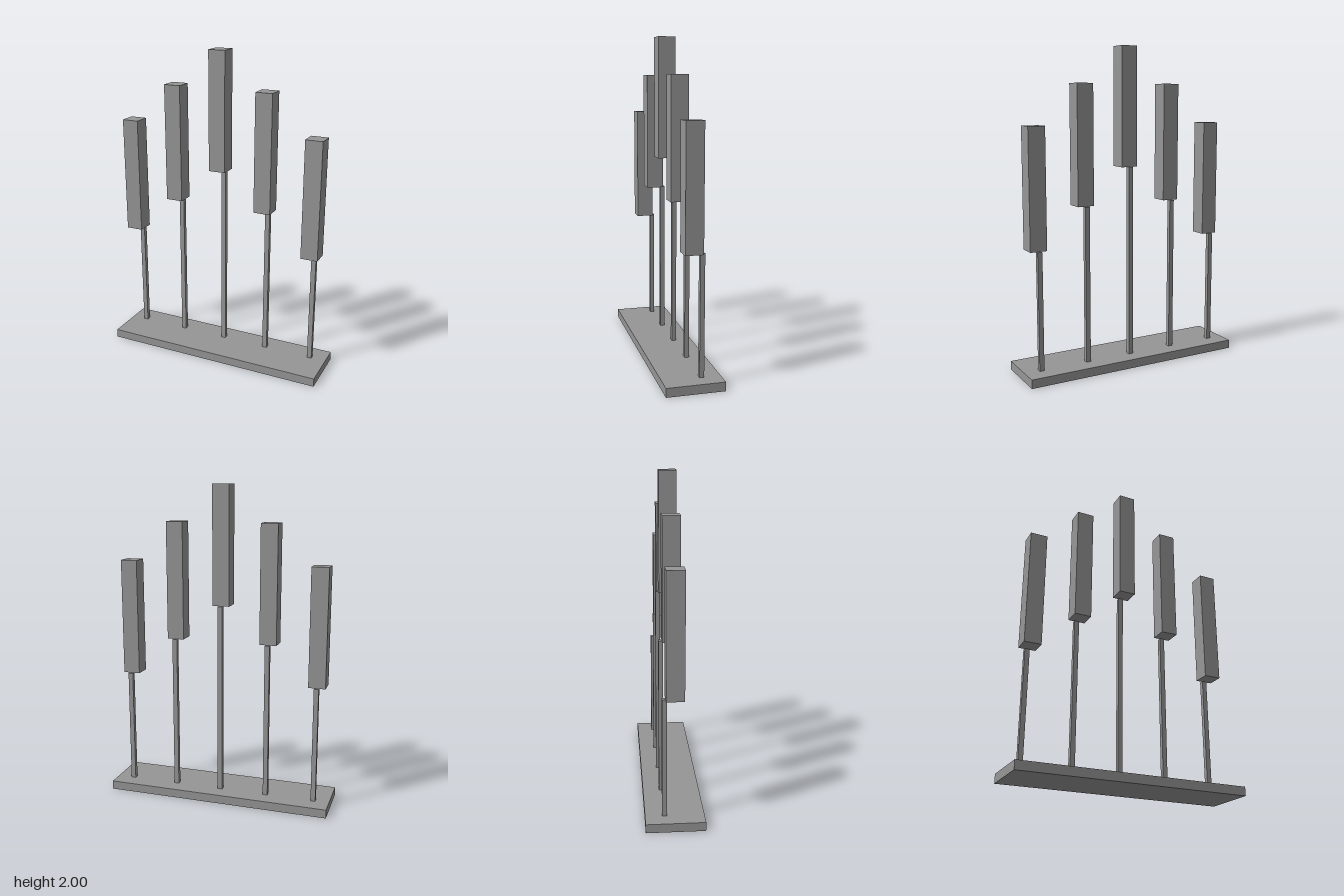
import * as THREE from 'three';

export function createModel() {
  const model = new THREE.Group();
  const grey = new THREE.MeshStandardMaterial({ color: 0x969696 });
  grey.name = 'grey';

  // Box spanning bottom to top, centred on x and z
  function addBox(name, width, depth, bottom, top, x, z) {
    const mesh = new THREE.Mesh(new THREE.BoxGeometry(width, top - bottom, depth), grey);
    mesh.position.set(x, (bottom + top) / 2, z);
    mesh.name = name;
    model.add(mesh);
  }

  // Base slab
  const baseTop = 0.055;
  addBox('base', 1.436, 0.35, 0, baseTop, 0, 0);

  // Square blocks, each carried by a thin post at its rear edge: [x, block top]
  const blockHeight = 0.74;
  const columns = [[-0.617, 1.525], [-0.307, 1.773], [-0.004, 2], [0.298, 1.773], [0.611, 1.525]];
  columns.forEach(([x, top], i) => {
    const bottom = top - blockHeight;
    addBox(`block${i + 1}`, 0.107, 0.107, bottom, top, x, -0.002);
    addBox(`post${i + 1}`, 0.03, 0.028, baseTop, bottom, x, -0.061);
  });

  return model;
}
